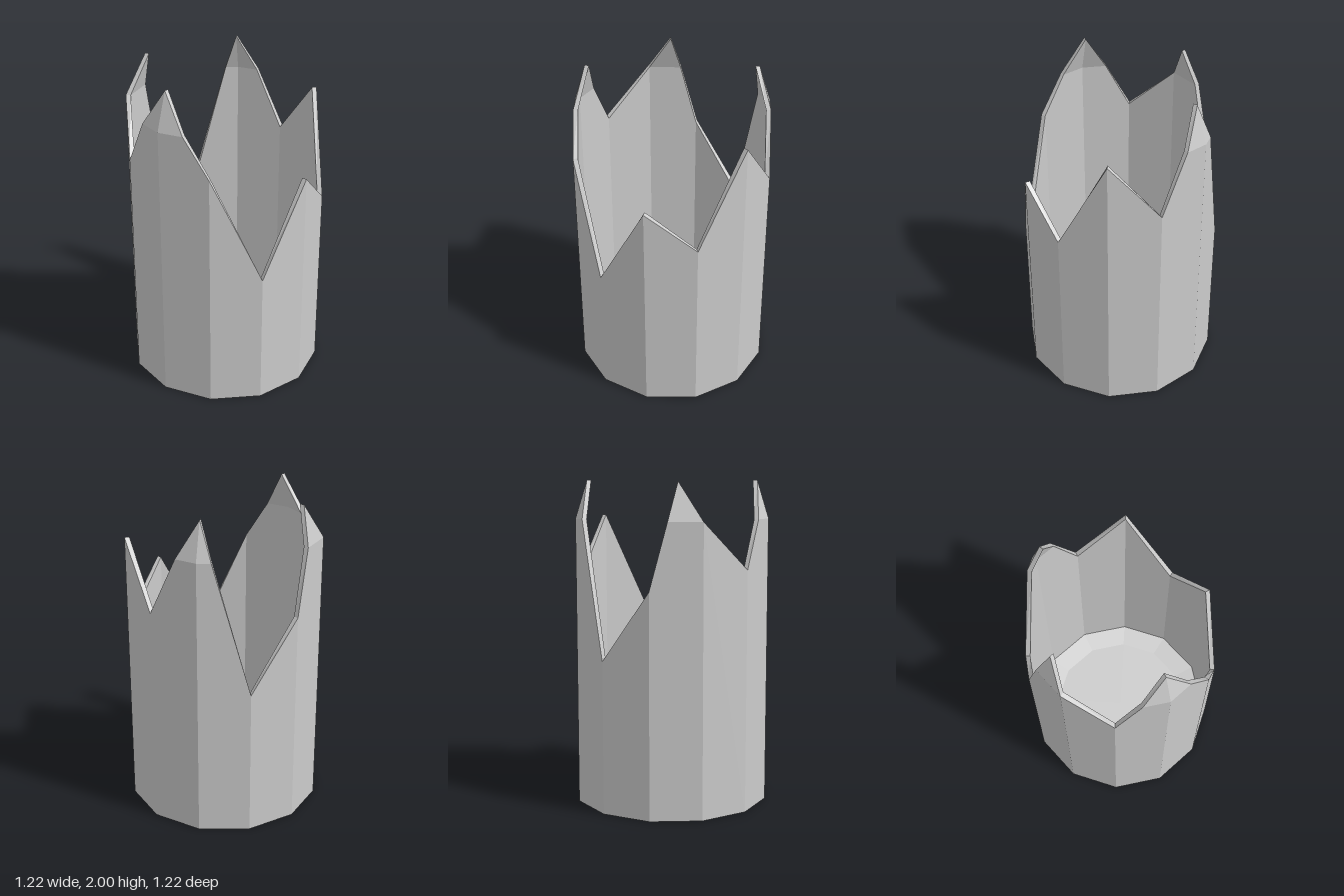
import * as THREE from 'three';

const R = 0.608, SIDES = 12, INNER = 0.95, BEND = 1.77;

// Point on the twelve-sided outline; t counts corners from +x towards +z
function outline(t, y, s = 1) {
  const corner = (i) => new THREE.Vector3(Math.cos((i * Math.PI * 2) / SIDES) * R * s, y, Math.sin((i * Math.PI * 2) / SIDES) * R * s);
  const i = Math.floor(t);
  return corner(i).lerp(corner(i + 1), t - i);
}

// Top of the upright wall: [corner position, height]
const wallTop = [
  [0, 1.77], [1, 1.17], [2, 1.43], [3, 0.85], [4, 1.53], [4.51, BEND], [5, BEND], [5.5, BEND],
  [6, 1.48], [7, BEND], [7.66, BEND], [8, 1.37], [9, 0.94], [9.73, BEND], [10, BEND], [10.44, BEND], [11, 1.4],
];

// Splinters leaning inwards above the bend: first and last wall point, tip
const tips = [
  { from: 5, to: 7, tip: [-0.465, 2, 0.268] },
  { from: 9, to: 10, tip: [-0.378, 2, -0.358] },
  { from: 13, to: 15, tip: [0.265, 2, -0.465] },
];

function meshFrom(name, corners, material) {
  const geometry = new THREE.BufferGeometry().setFromPoints(corners);
  geometry.computeVertexNormals();
  const mesh = new THREE.Mesh(geometry, material);
  mesh.name = name;
  return mesh;
}

const quad = (a, b, c, d) => [a, b, c, a, c, d];

// Upright wall and splinters of one skin
function skin(s, bottom) {
  const tri = [];
  wallTop.forEach(([t, y], i) => {
    const [u, v] = wallTop[(i + 1) % wallTop.length];
    tri.push(...quad(outline(t, bottom, s), outline(t, y, s), outline(u, v, s), outline(u, bottom, s)));
  });
  for (const { from, to, tip } of tips) {
    const peak = new THREE.Vector3(tip[0] * s, tip[1], tip[2] * s);
    for (let i = from; i < to; i++) tri.push(outline(...wallTop[i], s), peak, outline(...wallTop[i + 1], s));
  }
  return tri;
}

// Broken edge followed around, passing over each tip
function brokenEdge(s) {
  const points = [];
  wallTop.forEach(([t, y], i) => {
    if (tips.some((p) => i > p.from && i < p.to)) return;
    points.push(outline(t, y, s));
    const p = tips.find((q) => q.from === i);
    if (p) points.push(new THREE.Vector3(p.tip[0] * s, p.tip[1], p.tip[2] * s));
  });
  return points;
}

export function createModel() {
  const group = new THREE.Group();
  group.name = 'brokenCylinder';
  const material = new THREE.MeshStandardMaterial({ color: 0xcccccc, flatShading: true });

  // Outer and inner walls
  group.add(meshFrom('outerWall', skin(1, 0), material));
  group.add(meshFrom('innerWall', skin(INNER, 0.07).reverse(), material));

  // Thickness of the jagged edge
  const outer = brokenEdge(1), inner = brokenEdge(INNER), rim = [];
  outer.forEach((p, i) => {
    const j = (i + 1) % outer.length;
    rim.push(...quad(p, inner[i], inner[j], outer[j]));
  });
  group.add(meshFrom('jaggedRim', rim, material));

  // Underside and the slightly dished floor
  const base = [], floor = [];
  for (let i = 0; i < SIDES; i++) {
    base.push(new THREE.Vector3(), outline(i, 0), outline(i + 1, 0));
    const a = outline(i, 0.05, 0.735), b = outline(i + 1, 0.05, 0.735);
    floor.push(new THREE.Vector3(0, 0.05, 0), b, a);
    floor.push(...quad(outline(i, 0.07, INNER), a, b, outline(i + 1, 0.07, INNER)));
  }
  group.add(meshFrom('base', base, material), meshFrom('floor', floor, material));
  return group;
}
